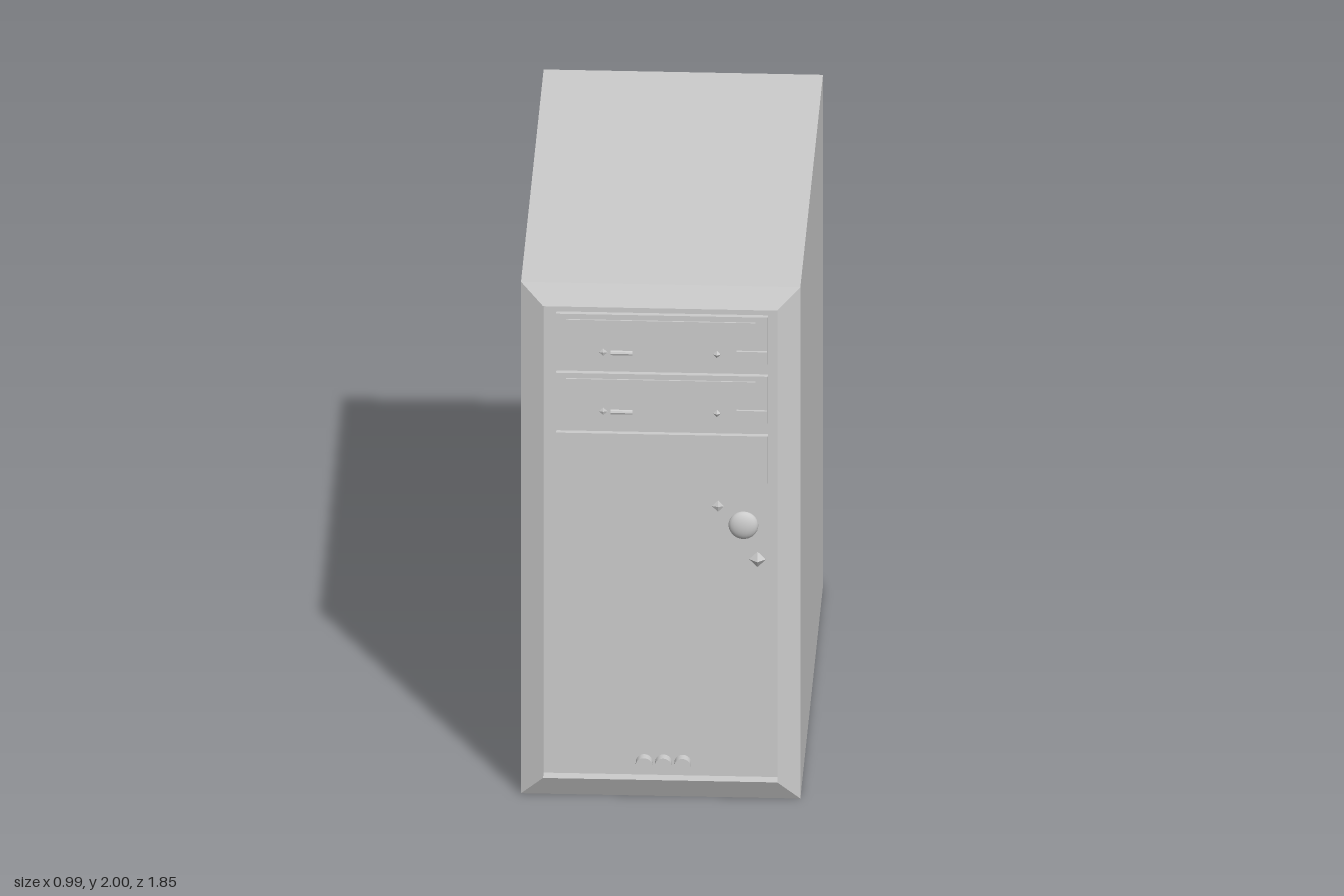
import * as THREE from 'three';

const PANEL = 0.88; // z of the recessed front panel

function part(parent, name, geo, x, y, z, flat = true) {
  const mat = new THREE.MeshStandardMaterial({ color: 0xcccccc, flatShading: flat });
  const mesh = new THREE.Mesh(geo, mat);
  mesh.name = name;
  mesh.position.set(x, y, z);
  parent.add(mesh);
  return mesh;
}

// Plate given by its x and y limits, rising from z by depth
function plate(parent, name, x0, x1, y0, y1, z, depth) {
  const geo = new THREE.BoxGeometry(x1 - x0, y1 - y0, depth);
  return part(parent, name, geo, (x0 + x1) / 2, (y0 + y1) / 2, z + depth / 2);
}

// Flattened four-sided stud (light or small button)
function stud(parent, name, x, y, z, r, depth) {
  return part(parent, name, new THREE.OctahedronGeometry(r), x, y, z).scale.z = depth / r;
}

// Case skin: rectangular sections from the front panel, around the outside, to the back panel
function caseGeometry() {
  const sections = [
    // half width, bottom, top, z
    [0.415, 0.08, 1.925, PANEL],
    [0.415, 0.08, 1.925, 0.925],
    [0.495, 0, 2, 0.885],
    [0.495, 0, 2, -0.885],
    [0.415, 0.08, 1.925, -0.925],
    [0.415, 0.08, 1.925, -0.8],
  ];
  const pos = [];
  const idx = [];
  for (const [w, b, t, z] of sections) pos.push(-w, b, z, w, b, z, w, t, z, -w, t, z);
  for (let s = 0; s < sections.length - 1; s++) {
    for (let i = 0; i < 4; i++) {
      const a = s * 4 + i, b = s * 4 + (i + 1) % 4;
      idx.push(a, a + 4, b, b, a + 4, b + 4);
    }
  }
  const e = (sections.length - 1) * 4;
  idx.push(0, 1, 2, 0, 2, 3, e, e + 2, e + 1, e, e + 3, e + 2);
  const geo = new THREE.BufferGeometry();
  geo.setAttribute('position', new THREE.Float32BufferAttribute(pos, 3));
  geo.setIndex(idx);
  const flat = geo.toNonIndexed();
  flat.computeVertexNormals();
  return flat;
}

// Optical drive with tray, light, volume wheel and buttons; y is its bottom edge
function opticalDrive(y) {
  const drive = new THREE.Group();
  drive.name = 'opticalDrive';
  drive.position.y = y;
  const face = PANEL + 0.02;
  plate(drive, 'driveFace', -0.37, 0.38, 0, 0.183, PANEL - 0.01, 0.03);
  plate(drive, 'discTray', -0.335, 0.337, 0.085, 0.163, face - 0.005, 0.011);
  plate(drive, 'ejectButton', 0.27, 0.377, 0.026, 0.052, face - 0.005, 0.015);
  stud(drive, 'driveLight', -0.203, 0.036, face, 0.015, 0.005);
  stud(drive, 'playButton', 0.2, 0.036, face, 0.014, 0.012);
  const wheel = part(drive, 'volumeWheel', new THREE.CylinderGeometry(0.009, 0.009, 0.077, 8), -0.138, 0.034, face);
  wheel.rotation.z = Math.PI / 2;
  return drive;
}

export function createModel() {
  const model = new THREE.Group();
  model.name = 'computerTower';
  part(model, 'case', caseGeometry(), 0, 0, 0);

  // Drive bays
  for (const y of [1.702, 1.471]) model.add(opticalDrive(y));
  plate(model, 'bayCover', -0.37, 0.38, 1.237, 1.42, PANEL - 0.01, 0.03);

  // Power controls
  const power = part(model, 'powerButton', new THREE.SphereGeometry(0.053, 20, 14), 0.293, 1.063, PANEL, false);
  power.scale.z = 0.5;
  stud(model, 'powerLight', 0.203, 1.135, PANEL, 0.022, 0.008);
  stud(model, 'resetButton', 0.343, 0.93, PANEL, 0.03, 0.025);

  // Row of round sockets
  for (let i = -1; i <= 1; i++) {
    const socket = part(model, 'audioSocket', new THREE.CylinderGeometry(0.03, 0.03, 0.04, 20), 0.01 + i * 0.068, 0.13, PANEL + 0.015, false);
    socket.rotation.x = Math.PI / 2;
  }
  return model;
}
